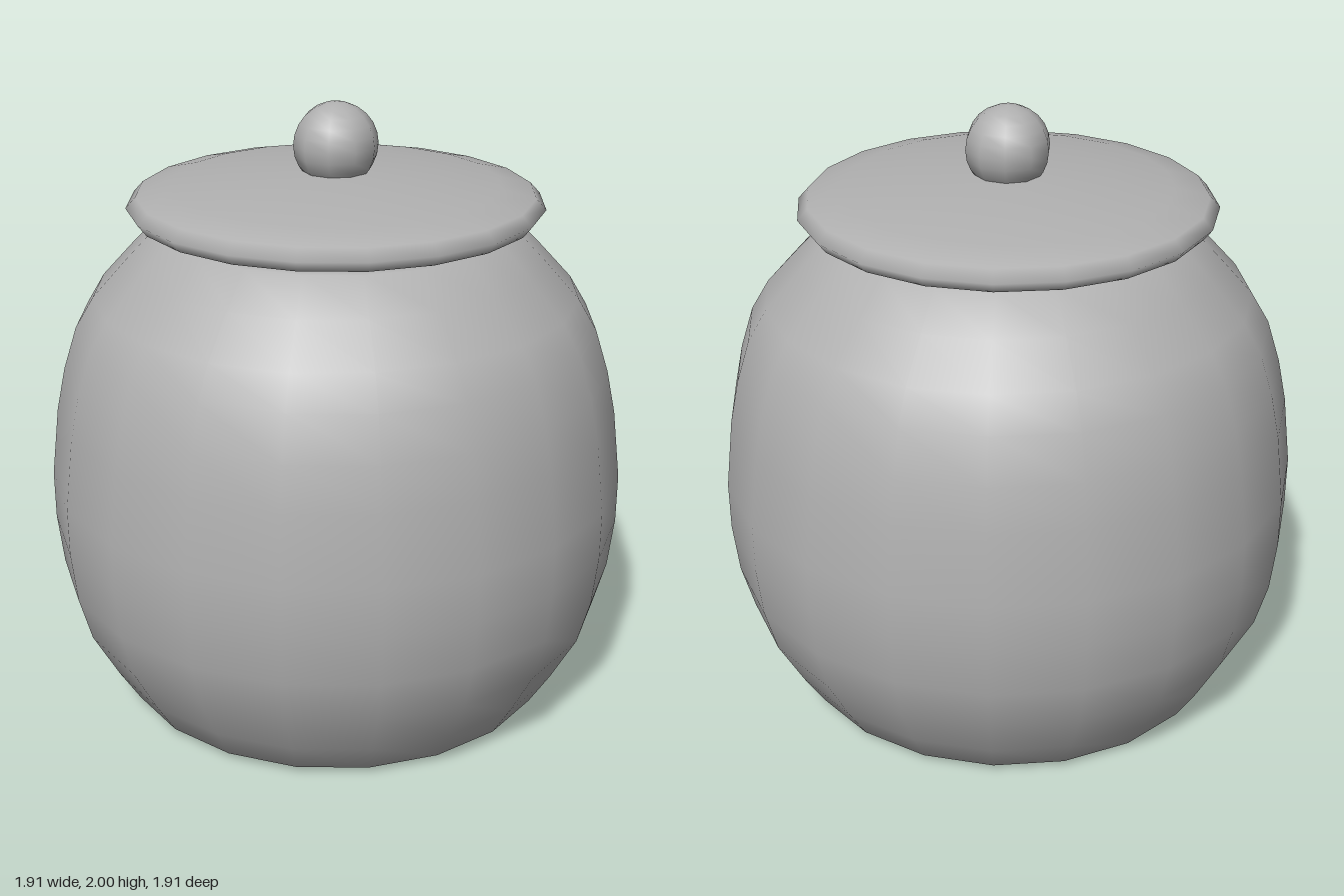
import * as THREE from 'three';

// Smooth turned part from [radius, height] pairs, listed bottom to top
function turned(name, profile, sides, material) {
  const points = profile.map(([r, y]) => new THREE.Vector2(r, y));
  const mesh = new THREE.Mesh(new THREE.LatheGeometry(points, sides), material);
  mesh.name = name;
  return mesh;
}

export function createModel() {
  const group = new THREE.Group();
  group.name = 'liddedJar';
  const clay = new THREE.MeshStandardMaterial({ color: 0xb0b0b0 });
  clay.name = 'grey clay';

  // Rounded pot, nearly flat underneath, closed at the mouth below the lid
  group.add(turned('pot', [
    [0, 0], [0.68, 0.012], [0.74, 0.025], [0.81, 0.14], [0.895, 0.3],
    [0.935, 0.45], [0.953, 0.62], [0.953, 0.78], [0.925, 1.01],
    [0.895, 1.15], [0.85, 1.29], [0.79, 1.39], [0.68, 1.51],
    [0.58, 1.613], [0.52, 1.613], [0, 1.6],
  ], 20, clay));

  // Shallow domed lid with a rolled edge
  group.add(turned('lid', [
    [0, 1.6], [0.525, 1.61], [0.54, 1.625], [0.645, 1.645], [0.672, 1.68],
    [0.64, 1.715], [0.53, 1.742], [0.34, 1.765], [0.15, 1.78], [0, 1.783],
  ], 20, clay));

  // Ball knob sunk into the lid
  const radius = 0.137, rings = 12, ball = [];
  for (let i = 0; i <= rings; i++) {
    const a = (i / rings) * Math.PI;
    ball.push([i % rings ? radius * Math.sin(a) : 0, 1.863 - radius * Math.cos(a)]);
  }
  group.add(turned('knob', ball, 10, clay));

  return group;
}
